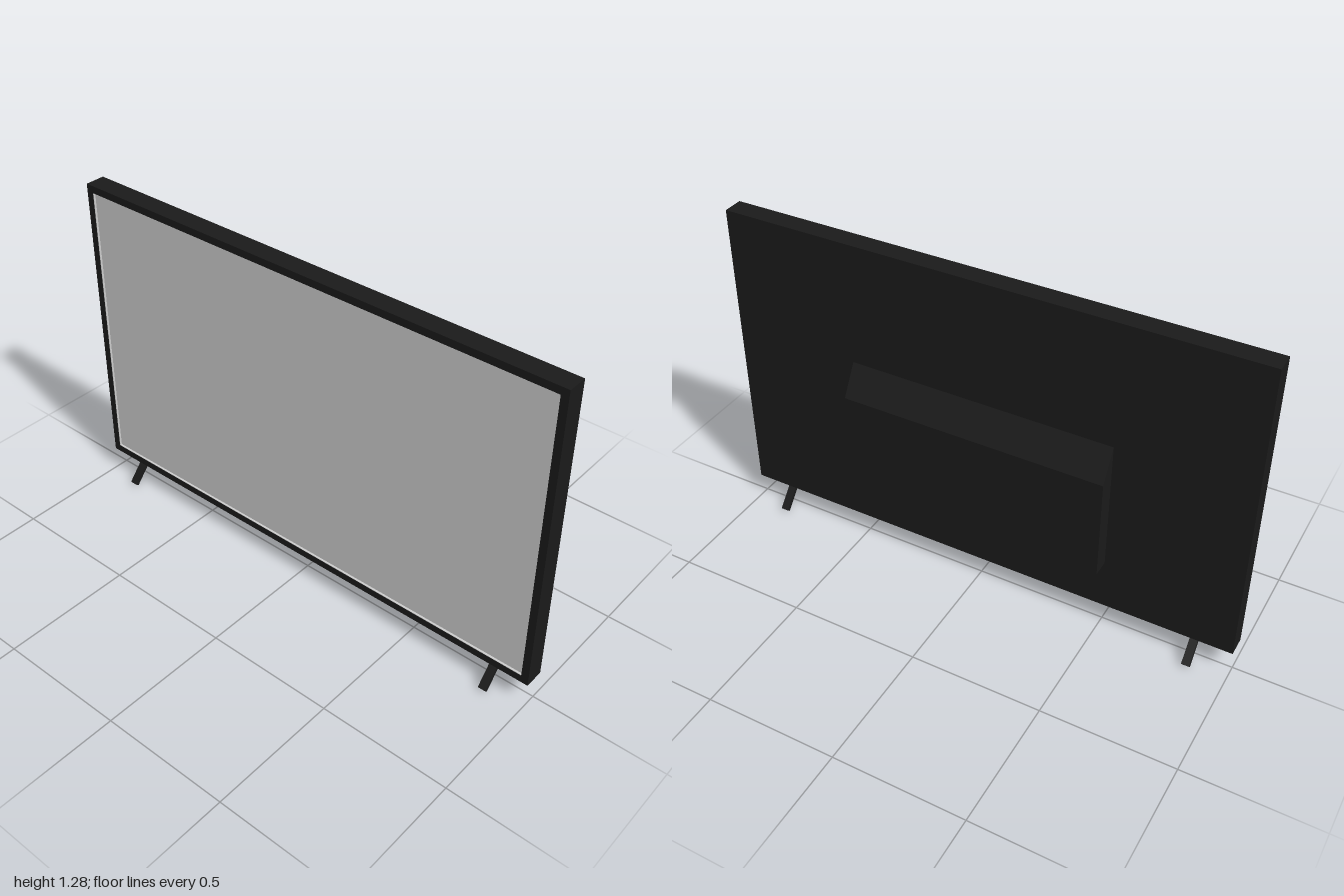
import * as THREE from 'three';

const black = new THREE.MeshStandardMaterial({ color: 0x1a1a1a });
const grey = new THREE.MeshStandardMaterial({ color: 0xcccccc });

const BOTTOM = 0.093, TOP = 1.278, MID = (BOTTOM + TOP) / 2, HEIGHT = TOP - BOTTOM;
const FRONT = -0.05, BACK = 0.027, RECESS = 0.01, BEZEL = 0.028;

function add(group, name, geometry, material, x = 0, y = 0, z = 0) {
  const mesh = new THREE.Mesh(geometry, material);
  mesh.name = name;
  mesh.position.set(x, y, z);
  group.add(mesh);
  return mesh;
}

function rectangle(PathType, w, h) {
  const p = new PathType();
  p.moveTo(-w / 2, -h / 2);
  p.lineTo(w / 2, -h / 2);
  p.lineTo(w / 2, h / 2);
  p.lineTo(-w / 2, h / 2);
  p.closePath();
  return p;
}

// Rectangular ring facing -x, its back on x = 0
function ring(w, h, border, depth) {
  const shape = rectangle(THREE.Shape, w, h);
  shape.holes.push(rectangle(THREE.Path, w - 2 * border, h - 2 * border));
  return new THREE.ExtrudeGeometry(shape, { depth, bevelEnabled: false }).rotateY(-Math.PI / 2);
}

export function createModel() {
  const tv = new THREE.Group();
  tv.name = 'television';

  // Cabinet slab with a raised bezel around the screen
  const slab = BACK - FRONT - RECESS;
  add(tv, 'cabinet', new THREE.BoxGeometry(slab, HEIGHT, 2), black, BACK - slab / 2, MID);
  add(tv, 'bezel', ring(2, HEIGHT, BEZEL, RECESS), black, FRONT + RECESS, MID);

  // Recessed screen with a thin lip
  const sw = 2 - 2 * BEZEL, sh = HEIGHT - 2 * BEZEL;
  add(tv, 'screen', new THREE.BoxGeometry(0.002, sh, sw), grey, FRONT + RECESS, MID);
  add(tv, 'screenLip', ring(sw, sh, 0.002, RECESS - 0.001), grey, FRONT + RECESS, MID);

  // Rear electronics housing with a sloped top
  const profile = new THREE.Shape([
    [BACK - 0.005, 0.295], [0.094, 0.295], [0.094, 0.69], [BACK, 0.805], [BACK - 0.005, 0.805],
  ].map(([x, y]) => new THREE.Vector2(x, y)));
  add(tv, 'rearHousing', new THREE.ExtrudeGeometry(profile, { depth: 1.01, bevelEnabled: false }),
    black, 0, 0, -0.505);

  // Two stands, each a pair of splayed flat struts
  for (const side of [-1, 1]) {
    const stand = new THREE.Group();
    stand.name = side > 0 ? 'standPositiveZ' : 'standNegativeZ';
    stand.position.set(-0.007, 0, side * 0.855);
    for (const dir of [-1, 1]) {
      const dx = 0.082, y0 = 0.0055, y1 = 0.1;
      const strut = add(stand, dir < 0 ? 'frontStrut' : 'rearStrut',
        new THREE.BoxGeometry(0.016, Math.hypot(dx, y1 - y0), 0.03), black,
        dir * dx / 2, (y0 + y1) / 2);
      strut.rotation.z = dir * Math.atan2(dx, y1 - y0);
    }
    tv.add(stand);
  }
  return tv;
}
